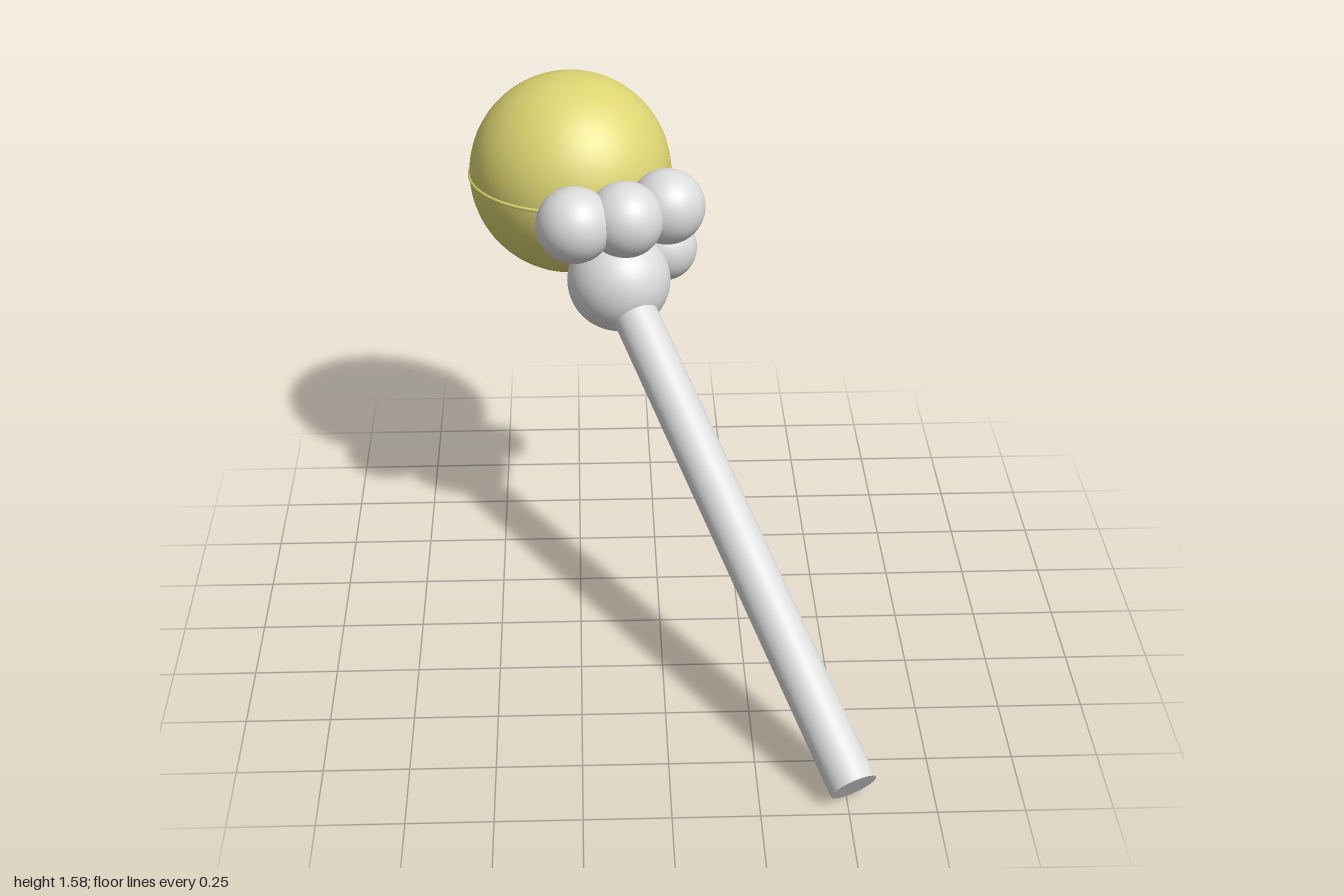
import * as THREE from 'three';

export function createModel() {
  const group = new THREE.Group();
  const grey = new THREE.MeshStandardMaterial({ color: 0xdcdcdc });
  grey.name = 'light grey';
  const yellow = new THREE.MeshStandardMaterial({ color: 0xddd572 });
  yellow.name = 'soft yellow';

  const add = (name, geometry, material, position) => {
    const mesh = new THREE.Mesh(geometry, material);
    mesh.name = name;
    mesh.position.copy(position);
    group.add(mesh);
    return mesh;
  };
  const addBall = (name, r, material, x, y, z) =>
    add(name, new THREE.SphereGeometry(r, 48, 32), material, new THREE.Vector3(x, y, z));

  // Held ball with a thin raised seam round its equator
  const ball = addBall('ball', 0.32, yellow, -0.26, 1.26, -0.675);
  const seam = add('ballSeam', new THREE.TorusGeometry(0.319, 0.006, 10, 80), yellow, ball.position);
  seam.rotation.x = Math.PI / 2;

  // Hand: palm, three fingers and a thumb
  const palm = addBall('palm', 0.16, grey, -0.115, 1.03, -0.358);
  [
    [-0.25, 1.25, -0.285],
    [-0.095, 1.25, -0.32],
    [0.037, 1.25, -0.415],
  ].forEach(([x, y, z], i) => addBall(`finger${i + 1}`, 0.118, grey, x, y, z));
  addBall('thumb', 0.106, grey, 0.028, 1.075, -0.497);

  // Arm from the flat-cut shoulder end up to the palm
  const shoulder = new THREE.Vector3(0.515, 0.06, 0.953);
  const dir = palm.position.clone().sub(shoulder);
  const length = dir.length() - 0.06;
  dir.normalize();
  const arm = add('arm', new THREE.CylinderGeometry(0.07, 0.07, length, 40), grey,
    shoulder.clone().addScaledVector(dir, length / 2));
  arm.quaternion.setFromUnitVectors(new THREE.Vector3(0, 1, 0), dir);

  return group;
}
